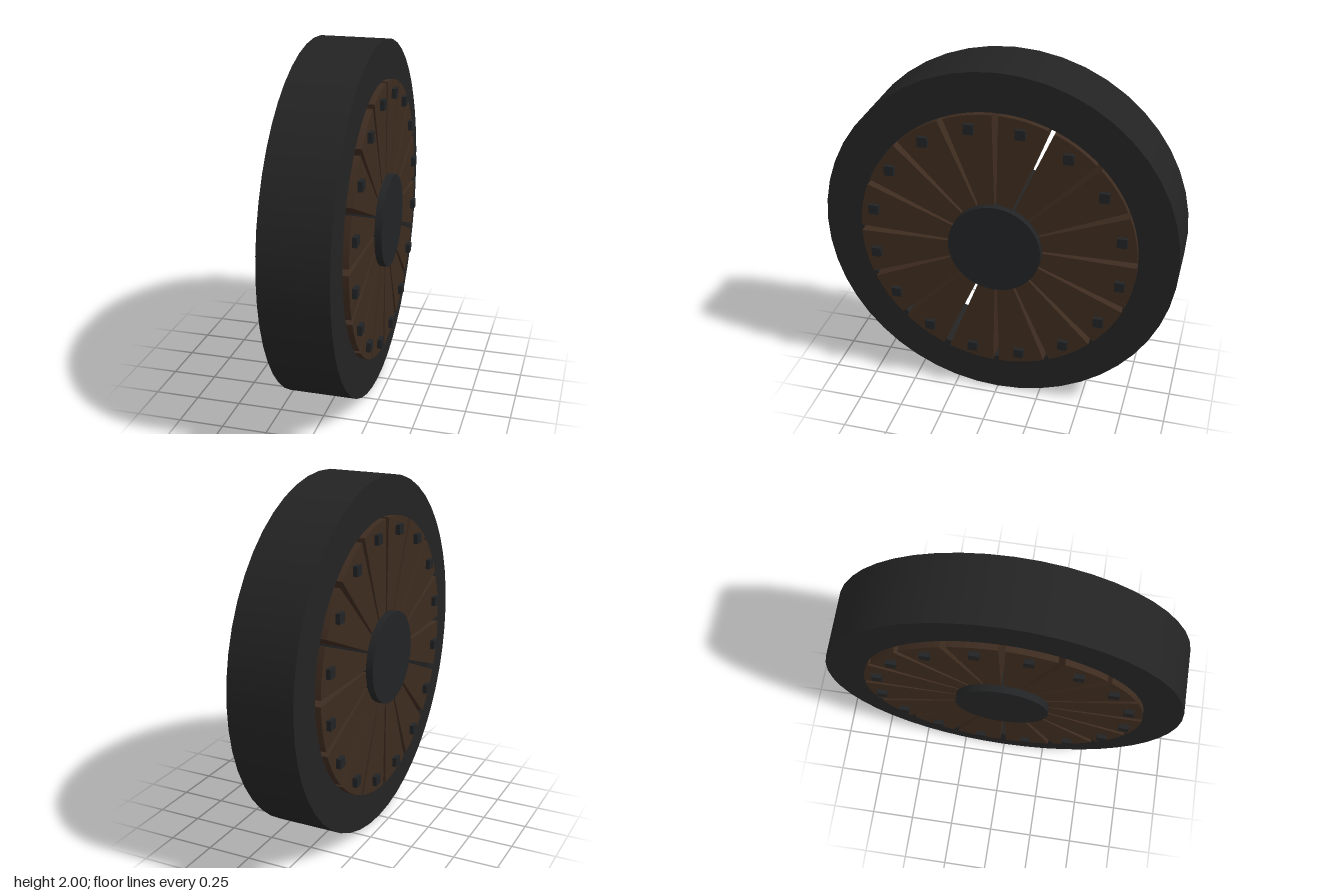
import * as THREE from 'three';

export function createModel() {
  const tyreMat = new THREE.MeshStandardMaterial({ name: 'dark rubber', color: 0x232323 });
  const woodMat = new THREE.MeshStandardMaterial({ name: 'dark wood', color: 0x3d2b1f });
  const ironMat = new THREE.MeshStandardMaterial({ name: 'dark iron', color: 0x222324 });

  const wheel = new THREE.Group();
  wheel.name = 'wheel';
  wheel.position.y = 1;

  const add = (name, geometry, material) => {
    const mesh = new THREE.Mesh(geometry, material);
    mesh.name = name;
    wheel.add(mesh);
    return mesh;
  };

  // Tyre: a closed square section turned about the x axle
  const R = 1, rim = 0.78, half = 0.187;
  const corners = [[rim, -half], [R, -half], [R, half], [rim, half], [rim, -half]];
  for (let i = 0; i < 4; i++) {
    const pts = [corners[i], corners[i + 1]].map(p => new THREE.Vector2(...p));
    const side = new THREE.LatheGeometry(pts, 48).rotateZ(Math.PI / 2);
    add(['tyreRightWall', 'tyreTread', 'tyreLeftWall', 'tyreInside'][i], side, tyreMat);
  }

  // Wooden wedges with narrow gaps, each held by a square bolt on both sides
  const count = 16, gap = 0.023, inner = 0.25, woodHalf = 0.22;
  for (let i = 0; i < count; i++) {
    const a0 = (i / count) * Math.PI * 2 + gap;
    const a1 = ((i + 1) / count) * Math.PI * 2 - gap;
    const mid = (a0 + a1) / 2;
    const shape = new THREE.Shape();
    shape.absarc(0, 0, rim, a0, a1, false);
    shape.absarc(0, 0, inner, a1, a0, true);
    const wedge = new THREE.ExtrudeGeometry(shape, { depth: woodHalf * 2, bevelEnabled: false, curveSegments: 4 });
    wedge.translate(0, 0, -woodHalf).rotateY(Math.PI / 2);
    add('wedge', wedge, woodMat);

    for (const s of [-1, 1]) {
      const bolt = add('bolt', new THREE.BoxGeometry(0.045, 0.055, 0.055), ironMat);
      bolt.position.set(s * 0.2225, 0.708 * Math.sin(mid), -0.708 * Math.cos(mid));
    }
  }

  // Hub
  add('hub', new THREE.CylinderGeometry(0.26, 0.26, 0.52, 48).rotateZ(Math.PI / 2), ironMat);

  const model = new THREE.Group();
  model.add(wheel);
  return model;
}
